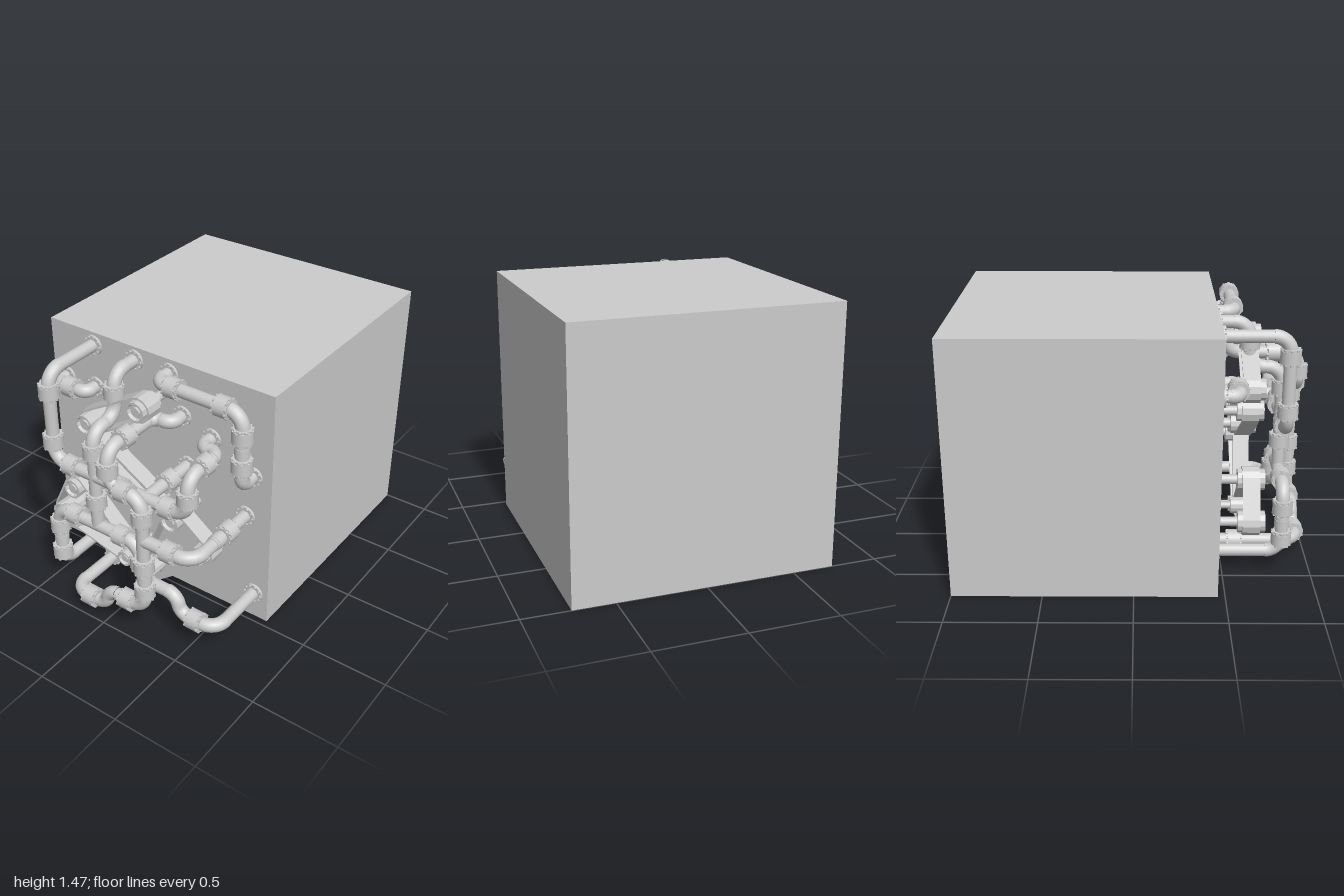
import * as THREE from 'three';
import { mergeGeometries } from 'three/addons/utils/BufferGeometryUtils.js';

const WALL = 0.46, PIPE_R = 0.036, MID = 0.83, FRONT = 0.945;
const V = (a) => new THREE.Vector3(...a);
const UP = new THREE.Vector3(0, 1, 0);
const AXES = { x: V([1, 0, 0]), y: UP, z: V([0, 0, 1]) };

export function createModel() {
  const model = new THREE.Group();
  const mat = new THREE.MeshStandardMaterial({ color: 0xcccccc });

  function add(parent, name, geometry) {
    const mesh = new THREE.Mesh(geometry, mat);
    mesh.name = name;
    parent.add(mesh);
    return mesh;
  }

  // Ring of small bolt heads around the y axis
  function boltRing(radius, y, size, count = 10) {
    const bolts = [];
    for (let i = 0; i < count; i++) {
      const a = (i / count) * Math.PI * 2;
      bolts.push(new THREE.CylinderGeometry(size, size, 0.01, 6)
        .translate(Math.cos(a) * radius, y, Math.sin(a) * radius));
    }
    return bolts;
  }

  // Shared fittings, all along the y axis
  const collarGeo = mergeGeometries([
    new THREE.CylinderGeometry(0.057, 0.057, 0.068, 20),
    new THREE.CylinderGeometry(0.05, 0.05, 0.09, 20),
    ...boltRing(0.05, 0.039, 0.009), ...boltRing(0.05, -0.039, 0.009),
  ]);
  const jointGeo = mergeGeometries([
    new THREE.CylinderGeometry(0.042, 0.042, 0.045, 20),
    new THREE.CylinderGeometry(0.039, 0.039, 0.075, 20),
  ]);
  const flangeGeo = mergeGeometries([
    new THREE.CylinderGeometry(0.058, 0.058, 0.014, 20).translate(0, 0.007, 0),
    ...boltRing(0.05, 0.018, 0.008),
  ]);

  function fitting(parent, name, geo, pos, axis) {
    const mesh = add(parent, name, geo);
    mesh.position.copy(pos);
    mesh.quaternion.setFromUnitVectors(UP, AXES[axis]);
  }

  // Pipe run: straight lengths with rounded elbows, collars, joints and wall flanges
  function pipe(name, points, collars = [], joints = []) {
    const group = new THREE.Group();
    group.name = name;
    model.add(group);
    const p = points.map(V);
    let start = p[0];
    const straight = (a, b) => {
      const length = a.distanceTo(b);
      if (length < 0.002) return;
      const mesh = add(group, 'straightPipe', new THREE.CylinderGeometry(PIPE_R, PIPE_R, length, 16));
      mesh.position.copy(a).lerp(b, 0.5);
      mesh.quaternion.setFromUnitVectors(UP, b.clone().sub(a).normalize());
    };
    for (let i = 1; i < p.length - 1; i++) {
      const c = p[i];
      const before = p[i - 1].clone().sub(c), after = p[i + 1].clone().sub(c);
      const r = Math.min(0.09, before.length() / 2, after.length() / 2);
      before.normalize();
      after.normalize();
      const at = (d, k) => c.clone().addScaledVector(d, r * k);
      const curve = new THREE.CubicBezierCurve3(at(before, 1), at(before, 0.45), at(after, 0.45), at(after, 1));
      straight(start, at(before, 1));
      add(group, 'elbow', new THREE.TubeGeometry(curve, 10, 0.039, 16));
      start = at(after, 1);
    }
    straight(start, p[p.length - 1]);
    for (const [x, y, z, axis] of collars) fitting(group, 'collar', collarGeo, V([x, y, z]), axis);
    for (const [x, y, z, axis] of joints) fitting(group, 'joint', jointGeo, V([x, y, z]), axis);
    for (const end of [p[0], p[p.length - 1]])
      if (end.z === WALL) fitting(group, 'wallFlange', flangeGeo, end, 'z');
  }

  // Main block
  add(model, 'block', new THREE.BoxGeometry(1.47, 1.465, 1.46)).position.set(0, 0.7325, -0.27);

  // Middle layer of pipes
  pipe('crossPipe', [[-0.43, 1.39, WALL], [-0.43, 1.39, MID], [-0.43, 0.85, MID], [0.47, 0.85, MID],
    [0.47, 1.085, MID], [0.47, 1.085, 0.56], [0.357, 1.085, 0.56], [0.357, 1.085, WALL]],
  [[-0.43, 1.28, MID, 'y'], [-0.43, 0.97, MID, 'y'], [-0.305, 0.85, MID, 'x'], [0.025, 0.85, MID, 'x'],
    [0.35, 0.85, MID, 'x'], [0.47, 0.965, MID, 'y'], [0.47, 1.085, 0.69, 'z']]);
  pipe('centrePipe', [[-0.145, 1.39, WALL], [-0.145, 1.39, 0.64], [-0.145, 1.13, 0.64],
    [-0.145, 1.13, MID], [-0.145, 0.52, MID]],
  [[-0.145, 1.28, 0.64, 'y'], [-0.145, 1.01, MID, 'y'], [-0.145, 0.69, MID, 'y']]);
  pipe('crossBranch', [[0.2, 0.85, WALL], [0.2, 0.85, MID]], [[0.2, 0.85, 0.64, 'z']]);
  pipe('lowerPipe', [[-0.435, 0.13, WALL], [-0.435, 0.13, MID], [-0.435, 0.52, MID], [0.145, 0.52, MID],
    [0.145, 0.285, MID], [0.39, 0.285, MID], [0.41, 0.17, MID], [0.645, 0.17, MID], [0.645, 0.17, WALL]],
  [[-0.305, 0.52, MID, 'x'], [0.025, 0.52, MID, 'x'], [-0.435, 0.4, MID, 'y'], [-0.435, 0.21, MID, 'y'],
    [0.145, 0.4, MID, 'y'], [0.515, 0.17, MID, 'x']], [[-0.435, 0.305, MID, 'y']]);

  // Front layer of pipes
  pipe('frontPipe', [[0.168, 1.155, WALL], [0.168, 1.155, 0.56], [0.05, 1.155, 0.56], [0.05, 1.155, FRONT],
    [0.05, 0.94, FRONT], [0.265, 0.94, FRONT], [0.265, 0.21, FRONT], [0.01, 0.21, FRONT],
    [-0.01, 0.1, FRONT], [-0.247, 0.1, FRONT], [-0.247, 0.1, WALL]],
  [[0.05, 1.04, FRONT, 'y'], [0.155, 0.94, FRONT, 'x'], [0.265, 0.83, FRONT, 'y'], [0.265, 0.51, FRONT, 'y'],
    [0.265, 0.34, FRONT, 'y'], [0.145, 0.21, FRONT, 'x'], [-0.12, 0.1, FRONT, 'x'],
    [0.05, 1.155, 0.8, 'z'], [-0.247, 0.1, 0.58, 'z']], [[0.265, 0.43, FRONT, 'y']]);
  pipe('frontBranch', [[0.265, 0.68, FRONT], [0.58, 0.68, FRONT], [0.58, 0.68, WALL]],
    [[0.44, 0.68, FRONT, 'x'], [0.58, 0.68, 0.64, 'z']], [[0.58, 0.68, 0.73, 'z']]);

  // Pipes close to the block
  pipe('upperPipe', [[0.085, 1.385, WALL], [0.085, 1.385, 0.57], [0.62, 1.385, 0.57],
    [0.62, 0.95, 0.57], [0.62, 0.95, WALL]],
  [[0.195, 1.385, 0.57, 'x'], [0.505, 1.385, 0.57, 'x'], [0.62, 1.26, 0.57, 'y'], [0.62, 1.08, 0.57, 'y']],
  [[0.62, 1.17, 0.57, 'y']]);
  pipe('sidePipe', [[-0.64, 1.13, WALL], [-0.64, 1.13, 0.55], [-0.43, 1.13, 0.55], [-0.43, 1.13, WALL]],
    [[-0.535, 1.13, 0.55, 'x']]);

  // Convex outline around a set of circles
  function beltOutline(wheels, grow) {
    const pts = [];
    for (const [x, y, r] of wheels)
      for (let i = 0; i < 12; i++) {
        const a = (i / 12) * Math.PI * 2;
        pts.push(new THREE.Vector2(x + (r + grow) * Math.cos(a), y + (r + grow) * Math.sin(a)));
      }
    pts.sort((a, b) => a.x - b.x || a.y - b.y);
    const half = (list) => {
      const h = [];
      for (const q of list) {
        while (h.length > 1 && h[h.length - 1].clone().sub(h[h.length - 2])
          .cross(q.clone().sub(h[h.length - 1])) <= 0) h.pop();
        h.push(q);
      }
      return h.slice(0, -1);
    };
    return [...half(pts), ...half([...pts].reverse())];
  }

  // Belt drives: wheels as [x, y, radius]
  const drives = [
    [[0.055, 1.26, 0.06], [-0.305, 1.05, 0.06]],
    [[-0.26, 0.91, 0.06], [0.1, 0.695, 0.06]],
    [[-0.435, 0.57, 0.06], [-0.535, 0.36, 0.06], [-0.07, 0.235, 0.048]],
    [[0.26, 0.64, 0.06], [0.45, 0.5, 0.06], [0.065, 0.18, 0.048]],
  ];
  for (const wheels of drives) {
    const drive = new THREE.Group();
    drive.name = 'beltDrive';
    model.add(drive);
    const band = new THREE.Shape(beltOutline(wheels, 0.014));
    band.holes.push(new THREE.Path(beltOutline(wheels, 0.003).reverse()));
    add(drive, 'belt', new THREE.ExtrudeGeometry(band, { depth: 0.095, bevelEnabled: false })).position.z = 0.595;
    for (const [x, y, r] of wheels) {
      // Pulley with a recessed face, on an axle fixed to the block
      const profile = [[0, 0.57], [r, 0.57], [r, 0.72], [r * 0.8, 0.72], [r * 0.72, 0.7], [0, 0.7]]
        .map(([a, b]) => new THREE.Vector2(a, b));
      const pulley = add(drive, 'pulley', new THREE.LatheGeometry(profile, 12).rotateX(Math.PI / 2).toNonIndexed());
      pulley.geometry.computeVertexNormals();
      pulley.position.set(x, y, 0);
      add(drive, 'axle', new THREE.CylinderGeometry(r * 0.45, r * 0.45, 0.26, 14).rotateX(Math.PI / 2))
        .position.set(x, y, 0.585);
    }
  }
  return model;
}
